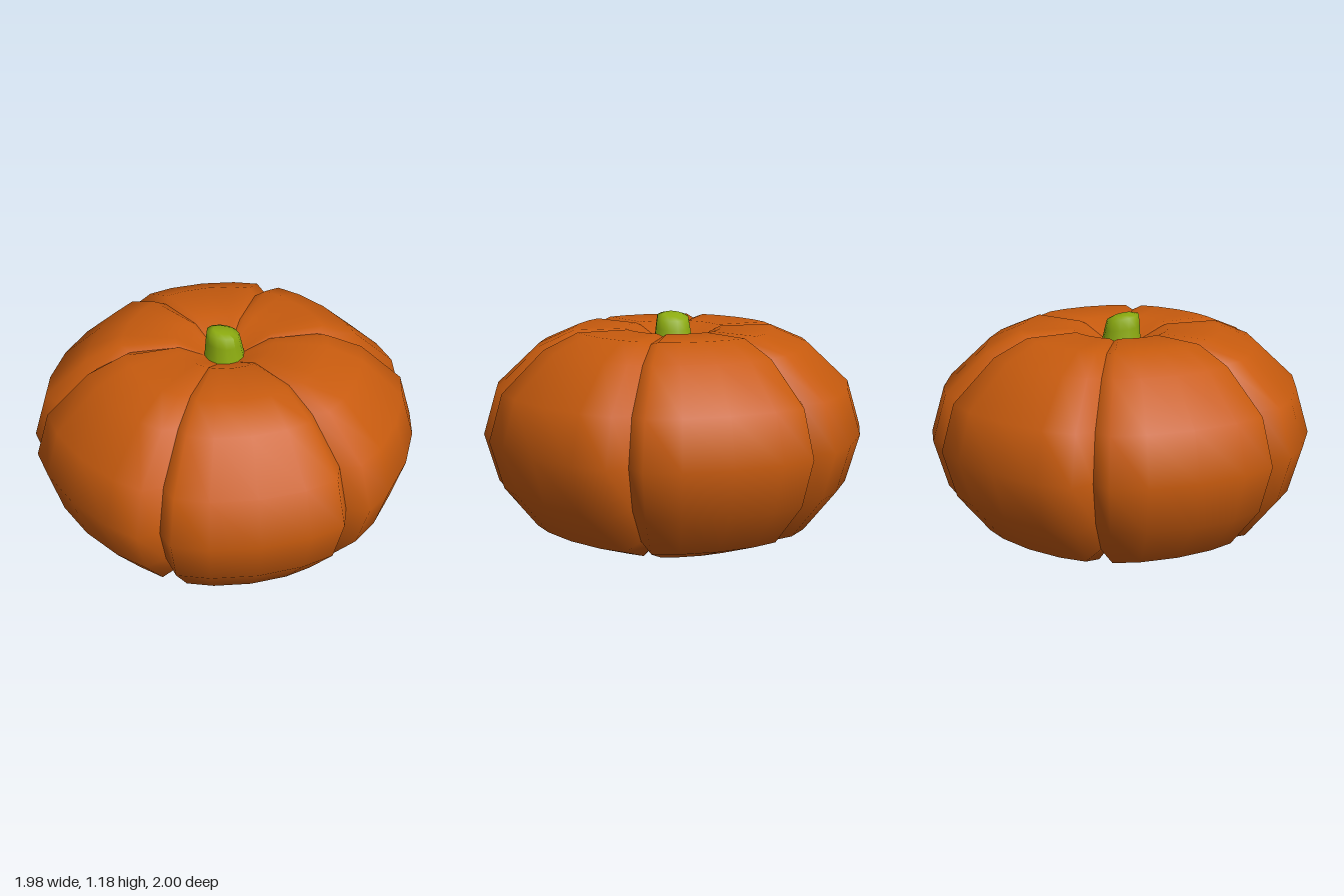
import * as THREE from 'three';

const MID = 0.58; // height of the widest ring

// Lobe centre line from bottom pole to top pole: [radius, y]
const PROFILE = [
  [0, 0.06], [0.24, 0.015], [0.48, 0.003], [0.75, 0.11], [0.92, 0.33], [0.99, 0.58],
  [0.92, 0.82], [0.70, 1.03], [0.52, 1.11], [0.25, 1.11], [0, 0.98],
];

// Across one lobe: [angle in degrees, radius factor], with the crease at both ends
const ACROSS = [[-30, 0.932], [-25, 1.014], [-14.5, 1.007], [0, 1], [14.5, 1.007], [25, 1.014], [30, 0.932]];

// One sixth of the body; normals are smooth inside a lobe and split at the creases
function lobeGeometry() {
  const positions = [];
  const index = [];
  const n = ACROSS.length;
  PROFILE.forEach(([r, y]) => {
    ACROSS.forEach(([deg, k]) => {
      const a = THREE.MathUtils.degToRad(deg);
      const crease = Math.abs(deg) === 30 && r > 0;
      const sink = crease ? (y < MID ? 0.91 : 0.97) : 1;
      positions.push(r * k * Math.cos(a), MID + (y - MID) * sink, r * k * Math.sin(a));
    });
  });
  for (let j = 0; j < PROFILE.length - 1; j++) {
    for (let i = 0; i < n - 1; i++) {
      const a = j * n + i, b = a + 1, c = a + n, d = c + 1;
      if (j < PROFILE.length - 2) index.push(a, c, d);
      else index.push(a, c, b);
      if (j > 0 && j < PROFILE.length - 2) index.push(a, d, b);
    }
  }
  const g = new THREE.BufferGeometry();
  g.setAttribute('position', new THREE.Float32BufferAttribute(positions, 3));
  g.setIndex(index);
  g.computeVertexNormals();
  return g;
}

// Short stalk, flared at the base, its top slanted and leaning to one side
function stemGeometry() {
  const points = [[0.125, 0.96], [0.105, 1.02], [0.093, 1.11], [0.084, 1.165], [0.05, 1.178], [0, 1.18]]
    .map(([r, y]) => new THREE.Vector2(r, y));
  const g = new THREE.LatheGeometry(points, 12);
  const p = g.attributes.position;
  for (let i = 0; i < p.count; i++) {
    const t = THREE.MathUtils.clamp((p.getY(i) - 1.0) / 0.17, 0, 1);
    p.setY(i, p.getY(i) - 0.2 * t * p.getX(i));
    p.setX(i, p.getX(i) - 0.012 * t);
  }
  g.computeVertexNormals();
  return g;
}

export function createModel() {
  const orange = new THREE.MeshStandardMaterial({ color: 0xc85b0e });
  orange.name = 'pumpkinOrange';
  const green = new THREE.MeshStandardMaterial({ color: 0x8dac10 });
  green.name = 'stemGreen';

  const model = new THREE.Group();
  model.name = 'pumpkin';

  // Six lobes around the vertical axis
  const body = new THREE.Group();
  body.name = 'body';
  const lobe = lobeGeometry();
  for (let i = 0; i < 6; i++) {
    const mesh = new THREE.Mesh(lobe, orange);
    mesh.name = `lobe${i + 1}`;
    mesh.rotation.y = (i * Math.PI) / 3;
    body.add(mesh);
  }
  model.add(body);

  const stem = new THREE.Mesh(stemGeometry(), green);
  stem.name = 'stem';
  model.add(stem);
  return model;
}
